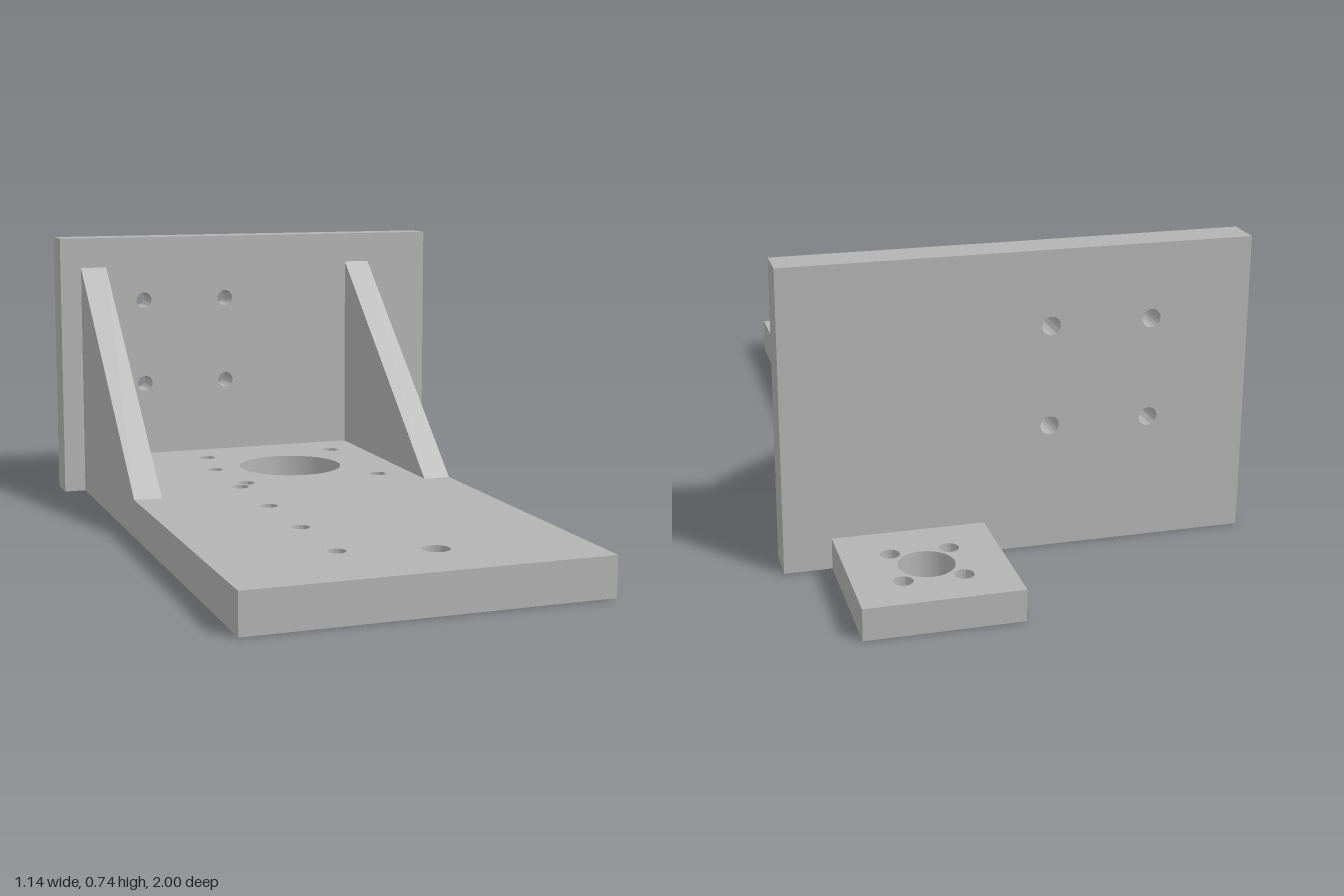
import * as THREE from 'three';
import { toCreasedNormals } from 'three/addons/utils/BufferGeometryUtils.js';

// Extruded outline with round holes [x, y, radius], smooth inside the holes
function plate(points, holes, depth) {
  const shape = new THREE.Shape(points.map(([x, y]) => new THREE.Vector2(x, y)));
  for (const [x, y, r] of holes) {
    shape.holes.push(new THREE.Path().absarc(x, y, r, 0, Math.PI * 2, true));
  }
  const geo = new THREE.ExtrudeGeometry(shape, { depth, bevelEnabled: false, curveSegments: 32 });
  return toCreasedNormals(geo, Math.PI / 6);
}

const rect = (x0, y0, x1, y1) => [[x0, y0], [x1, y0], [x1, y1], [x0, y1]];

// Horizontal plate resting on y = 0, given in x and z
function floorPlate(x0, z0, x1, z1, holes, height) {
  const flipped = holes.map(([x, z, r]) => [x, -z, r]);
  return plate(rect(x0, -z1, x1, -z0), flipped, height).rotateX(-Math.PI / 2);
}

// Four holes on a square around a centre
const square = (cx, cy, half, r) =>
  [[-1, -1], [1, -1], [1, 1], [-1, 1]].map(([i, j]) => [cx + i * half, cy + j * half, r]);

export function createModel() {
  const model = new THREE.Group();
  model.name = 'mountingBracket';
  const grey = new THREE.MeshStandardMaterial({ color: 0xb3b3b3 });
  grey.name = 'plain grey';

  const add = (name, geo) => {
    const mesh = new THREE.Mesh(geo, grey);
    mesh.name = name;
    model.add(mesh);
    return mesh;
  };

  const left = -0.51, right = 0.383, wallFront = -0.545, wallBack = -0.638, baseTop = 0.1;

  // Base plate: large bore, its bolt square, a row of holes and one front hole
  const row = [0, 1, 2, 3, 4].map((i) => [-0.201, -0.236 + i * 0.248, 0.022]);
  add('basePlate', floorPlate(left, wallFront, right, 1, [
    [0.021, -0.224, 0.144], ...square(0.021, -0.224, 0.193, 0.023), ...row, [0.021, 0.811, 0.033],
  ], baseTop));

  // Upright wall with four bolt holes
  add('uprightPlate', plate(rect(-0.57, 0, 0.57, 0.744), square(-0.2, 0.435, 0.124, 0.0225), wallFront - wallBack))
    .position.z = wallBack;

  // Rear tab with bore and bolt square
  add('rearTab', floorPlate(0.085, -1, 0.455, wallBack,
    [[0.27, -0.822, 0.066], ...square(0.27, -0.822, 0.07, 0.023)], 0.077));

  // Triangular gussets, profile drawn in (-z, y) and turned to run along x
  const ribWidth = 0.074;
  for (const [name, x] of [['rightGusset', left], ['leftGusset', right - ribWidth]]) {
    const geo = plate([[-0.08, baseTop], [-wallFront, baseTop], [-wallFront, 0.658]], [], ribWidth);
    add(name, geo.rotateY(Math.PI / 2)).position.x = x;
  }
  return model;
}
